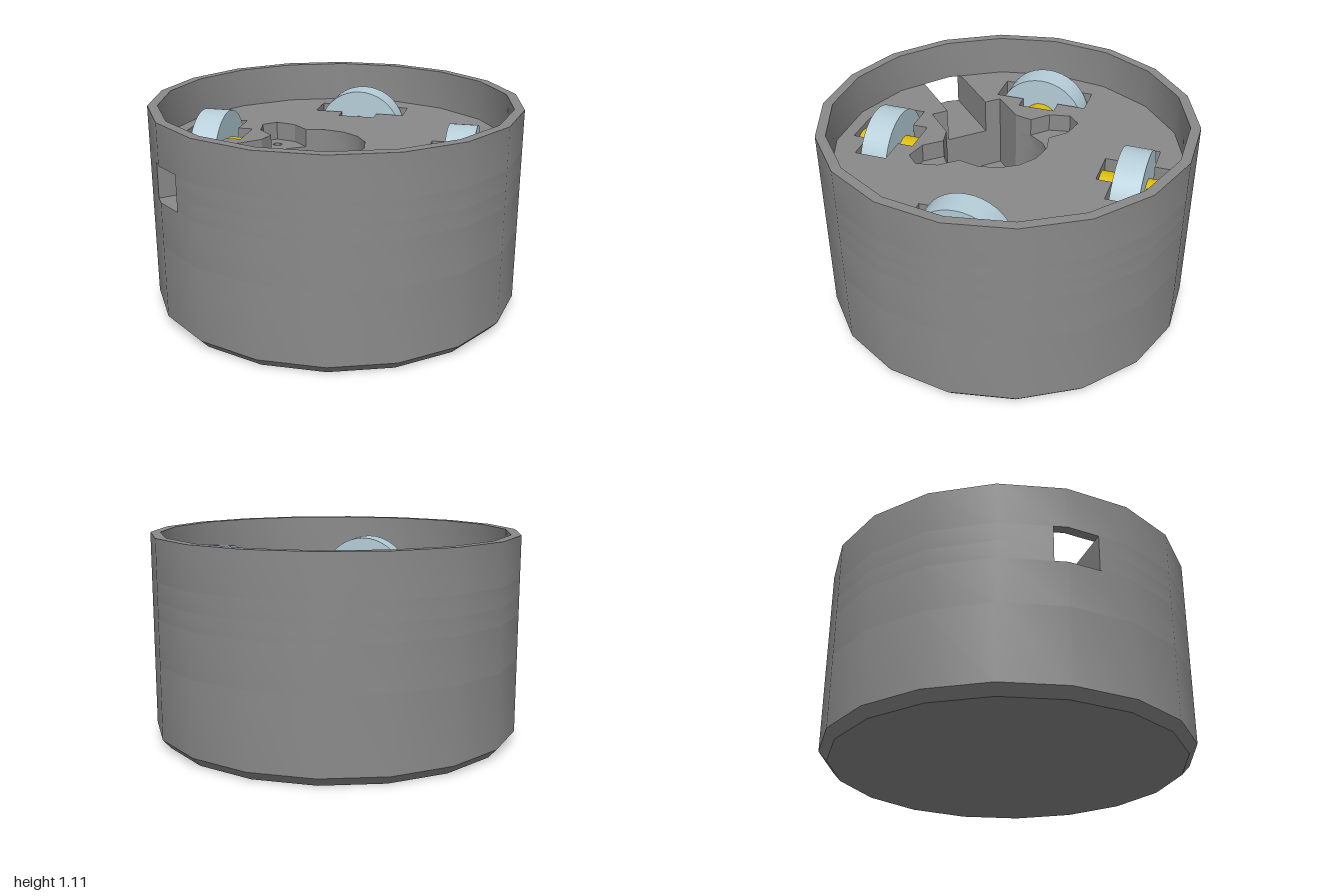
import * as THREE from 'three';
import { toCreasedNormals } from 'three/addons/utils/BufferGeometryUtils.js';

const RAD = Math.PI / 180;
const SIDES = 18;
const CHANNEL_ANGLE = 203 * RAD; // heading of the cable channel
const WHEEL_ANGLE = 69 * RAD;    // heading of the first wheel
const WHEEL_R = 0.688;
const FLOOR = 0.885;

const polar = (r, a, cx = 0, cy = 0) => new THREE.Vector2(cx + r * Math.cos(a), cy + r * Math.sin(a));
const ring = (r, n, c = new THREE.Vector2()) =>
  Array.from({ length: n }, (_, i) => polar(r, (i * 2 * Math.PI) / n, c.x, c.y));
// Points given along and across a heading
const along = (u, v, a = CHANNEL_ANGLE) => new THREE.Vector2(u, v).rotateAround(new THREE.Vector2(), a);

// Motor cavity: a box mouth joined to a round well, with optional screw ears
function cavity(ears) {
  const half = [[0.56, -0.215], [0.345, -0.215]];
  const well = (deg) => half.push([0.15 + 0.29 * Math.cos(deg * RAD), 0.29 * Math.sin(deg * RAD)]);
  well(-67.7);
  if (ears) half.push([0.265, -0.39], [0.2, -0.49], [0.11, -0.49], [0.045, -0.39]);
  else well(-90);
  [-112.3, -135, -157.5].forEach(well);
  const mirrored = half.map(([u, v]) => [u, -v]).reverse();
  return [...half, [-0.14, 0], ...mirrored].map(([u, v]) => along(u, v));
}

// Outer outline opened by the channel that leads into the cavity
function openOutline(ears) {
  const rim = [];
  for (let deg = 220; deg <= 540; deg += 20) rim.push(polar(1, deg * RAD));
  return [along(0.9775, 0.12), ...rim, along(0.983, -0.12), along(0.56, -0.12),
    ...cavity(ears), along(0.56, 0.12)];
}

// Cross-shaped pocket for a wheel and its axle
function wheelPocket(i) {
  const quarter = [[0.175, 0.105], [0.09, 0.105], [0.09, 0.265]];
  const back = quarter.map(([r, t]) => [-r, t]).reverse();
  const top = [...quarter, ...back];
  const all = [...top, ...top.map(([r, t]) => [r, -t]).reverse()];
  return all.map(([r, t]) => along(WHEEL_R + r, t, WHEEL_ANGLE + (i * Math.PI) / 2));
}

// Horizontal slab between two heights
function slab(name, outline, holes, y0, y1, material) {
  const shape = new THREE.Shape(outline);
  shape.holes = holes.map((h) => new THREE.Path(h));
  const geo = new THREE.ExtrudeGeometry(shape, { depth: y1 - y0, bevelEnabled: false });
  geo.rotateX(-Math.PI / 2).translate(0, y0, 0);
  const mesh = new THREE.Mesh(toCreasedNormals(geo, 0.45), material);
  mesh.name = name;
  return mesh;
}

export function createModel() {
  const make = (name, color) => {
    const m = new THREE.MeshStandardMaterial({ color });
    m.name = name;
    return m;
  };
  const grey = make('body grey', 0x8a8a8a);
  const blue = make('wheel pale blue', 0xb6ced9);
  const yellow = make('axle yellow', 0xdcbe0c);

  const model = new THREE.Group();
  model.name = 'wheeledBase';

  // Chamfered foot
  const footGeo = new THREE.CylinderGeometry(1, 0.955, 0.05, SIDES);
  footGeo.rotateY(Math.PI / 2).translate(0, 0.025, 0);
  const foot = new THREE.Mesh(toCreasedNormals(footGeo, 0.45), grey);
  foot.name = 'chamferedFoot';
  model.add(foot);

  // Body slabs from the solid base up to the rim
  const outer = ring(1, SIDES);
  const pockets = [0, 1, 2, 3].map(wheelPocket);
  const screwHoles = [-1, 1].map((s) => ring(0.028, 6, along(0.157, 0.395 * s)));
  model.add(
    slab('solidBase', outer, [], 0.05, 0.45, grey),
    slab('wellLayer', outer, [cavity(false), ...pockets], 0.45, 0.69, grey),
    slab('channelLayer', openOutline(false), [...pockets, ...screwHoles], 0.69, 0.783, grey),
    slab('deckLayer', openOutline(true), pockets, 0.783, FLOOR, grey),
    slab('rimWall', outer, [ring(0.947, SIDES)], FLOOR, 1.11, grey),
  );

  // Four wheels on radial axles
  const wheelGeo = new THREE.CylinderGeometry(0.25, 0.25, 0.15, 40).rotateZ(Math.PI / 2);
  const axleGeo = new THREE.CylinderGeometry(0.1, 0.1, 0.346, 28).rotateZ(Math.PI / 2);
  for (let i = 0; i < 4; i++) {
    const unit = new THREE.Group();
    unit.name = 'wheelUnit' + (i + 1);
    unit.rotation.y = WHEEL_ANGLE + (i * Math.PI) / 2;
    const wheel = new THREE.Mesh(wheelGeo, blue);
    wheel.name = 'wheel';
    const axle = new THREE.Mesh(axleGeo, yellow);
    axle.name = 'axle';
    for (const part of [wheel, axle]) part.position.set(WHEEL_R, 0.76, 0);
    unit.add(wheel, axle);
    model.add(unit);
  }
  return model;
}
